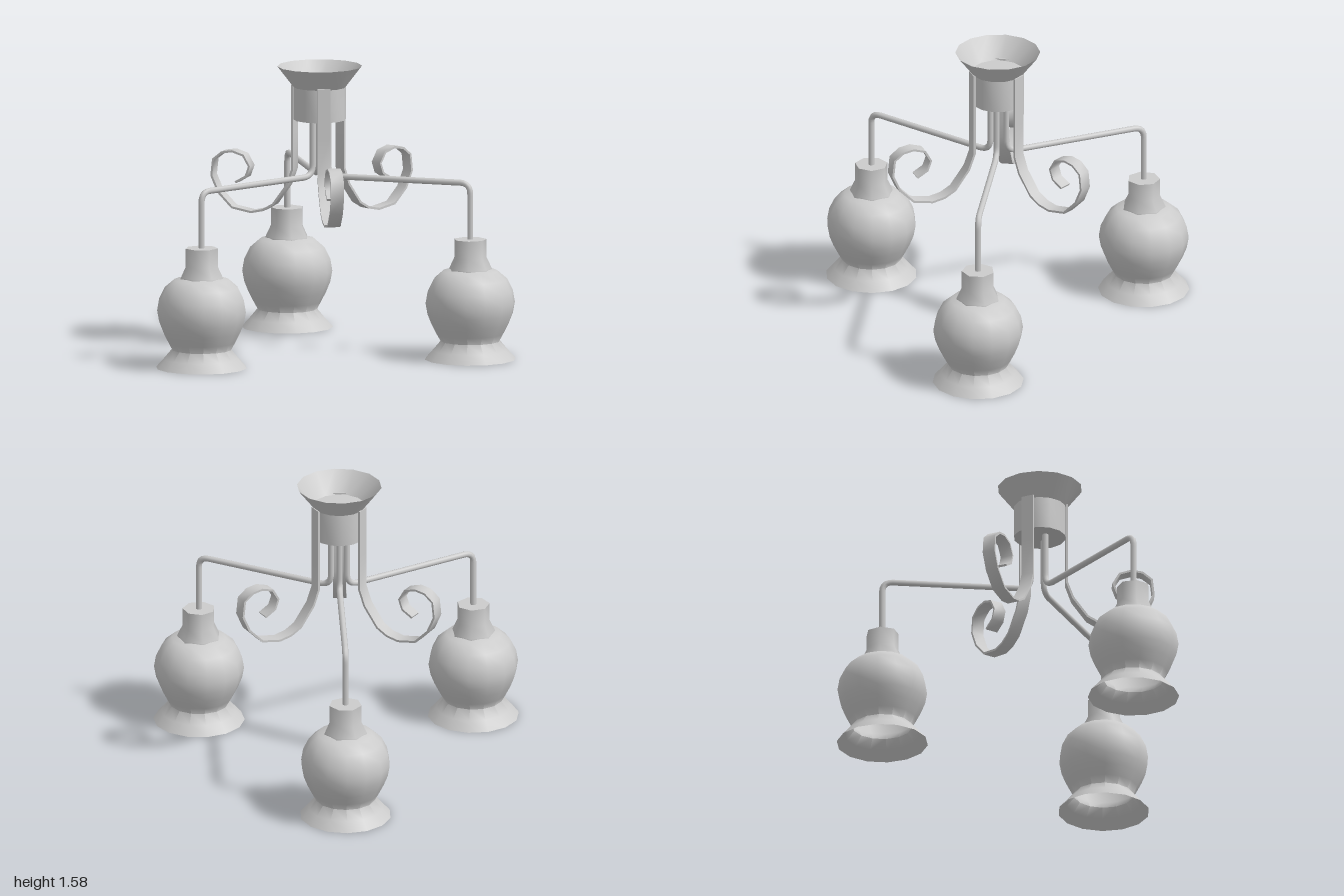
import * as THREE from 'three';
import { toCreasedNormals } from 'three/addons/utils/BufferGeometryUtils.js';

const material = new THREE.MeshStandardMaterial({ color: 0xcccccc, side: THREE.DoubleSide });
const TURN = (Math.PI * 2) / 3;

function part(name, geometry, parent) {
  const mesh = new THREE.Mesh(geometry, material);
  mesh.name = name;
  parent.add(mesh);
  return mesh;
}

function lathe(profile, sides, crease) {
  const points = profile.map(([r, y]) => new THREE.Vector2(r, y));
  return toCreasedNormals(new THREE.LatheGeometry(points, sides, -Math.PI / 2), crease);
}

// Rod that drops, bends outward, runs level and bends down into the lamp
function armGeometry() {
  const v = (x, y) => new THREE.Vector3(x, y, 0);
  const path = new THREE.CurvePath();
  path.add(new THREE.LineCurve3(v(0.05, 1.3), v(0.05, 1.04)));
  path.add(new THREE.QuadraticBezierCurve3(v(0.05, 1.04), v(0.05, 0.97), v(0.12, 0.97)));
  path.add(new THREE.LineCurve3(v(0.12, 0.97), v(0.805, 0.97)));
  path.add(new THREE.QuadraticBezierCurve3(v(0.805, 0.97), v(0.865, 0.97), v(0.865, 0.91)));
  path.add(new THREE.LineCurve3(v(0.865, 0.91), v(0.865, 0.65)));
  return new THREE.TubeGeometry(path, 80, 0.017, 8);
}

// Flat strap following a scroll, thickened along its normals and extruded to width
function scrollGeometry(width, thickness) {
  const path = [
    [0.147, 1.47], [0.147, 1.2], [0.147, 1.0], [0.18, 0.91], [0.26, 0.8], [0.32, 0.765],
    [0.39, 0.75], [0.5, 0.77], [0.58, 0.85], [0.62, 0.94], [0.61, 1.03], [0.56, 1.07],
    [0.5, 1.08], [0.435, 1.06], [0.4, 1.0], [0.42, 0.945], [0.48, 0.91],
  ].map(([x, y]) => new THREE.Vector2(x, y));
  const offset = (amount) => path.map((p, i) => {
    const a = path[Math.max(i - 1, 0)];
    const b = path[Math.min(i + 1, path.length - 1)];
    const t = b.clone().sub(a).normalize();
    return new THREE.Vector2(p.x - t.y * amount, p.y + t.x * amount);
  });
  const outline = [...offset(thickness / 2), ...offset(-thickness / 2).reverse()];
  const geometry = new THREE.ExtrudeGeometry(new THREE.Shape(outline), { depth: width, bevelEnabled: false });
  geometry.translate(0, 0, -width / 2);
  return toCreasedNormals(geometry, 0.9);
}

export function createModel() {
  const model = new THREE.Group();
  model.name = 'ceilingLamp';
  const fixture = new THREE.Group();
  fixture.name = 'fixture';
  fixture.position.z = -0.22;
  model.add(fixture);

  // Ceiling mount: flared open canopy over a short drum
  part('canopy', lathe([[0.143, 1.46], [0.232, 1.575]], 14, 0.6), fixture);
  part('drum', lathe([[0, 1.28], [0.143, 1.28], [0.143, 1.46], [0, 1.46]], 14, 0.6), fixture);

  const arm = armGeometry();
  const scroll = scrollGeometry(0.072, 0.012);
  const neck = lathe([[0.12, 0.49], [0.118, 0.5], [0.09, 0.56], [0.09, 0.66], [0, 0.66]], 7, 1.0);
  // Bell-mouthed glass shade, open below
  const shade = lathe([
    [0.25, 0], [0.205, 0.05], [0.163, 0.1], [0.185, 0.14], [0.213, 0.195], [0.235, 0.25], [0.246, 0.31],
    [0.235, 0.375], [0.203, 0.44], [0.15, 0.486], [0.08, 0.5],
  ], 14, 1.2);

  for (let i = 0; i < 3; i++) {
    // Arm with its lamp
    const spoke = new THREE.Group();
    spoke.name = `lampArm${i + 1}`;
    spoke.rotation.y = -Math.PI / 2 + i * TURN;
    fixture.add(spoke);
    part('arm', arm, spoke);
    part('lampNeck', neck, spoke).position.x = 0.865;
    part('shade', shade, spoke).position.x = 0.865;

    // Decorative scroll between the arms
    part(`scroll${i + 1}`, scroll, fixture).rotation.y = THREE.MathUtils.degToRad(87.2) + i * TURN;
  }
  return model;
}
